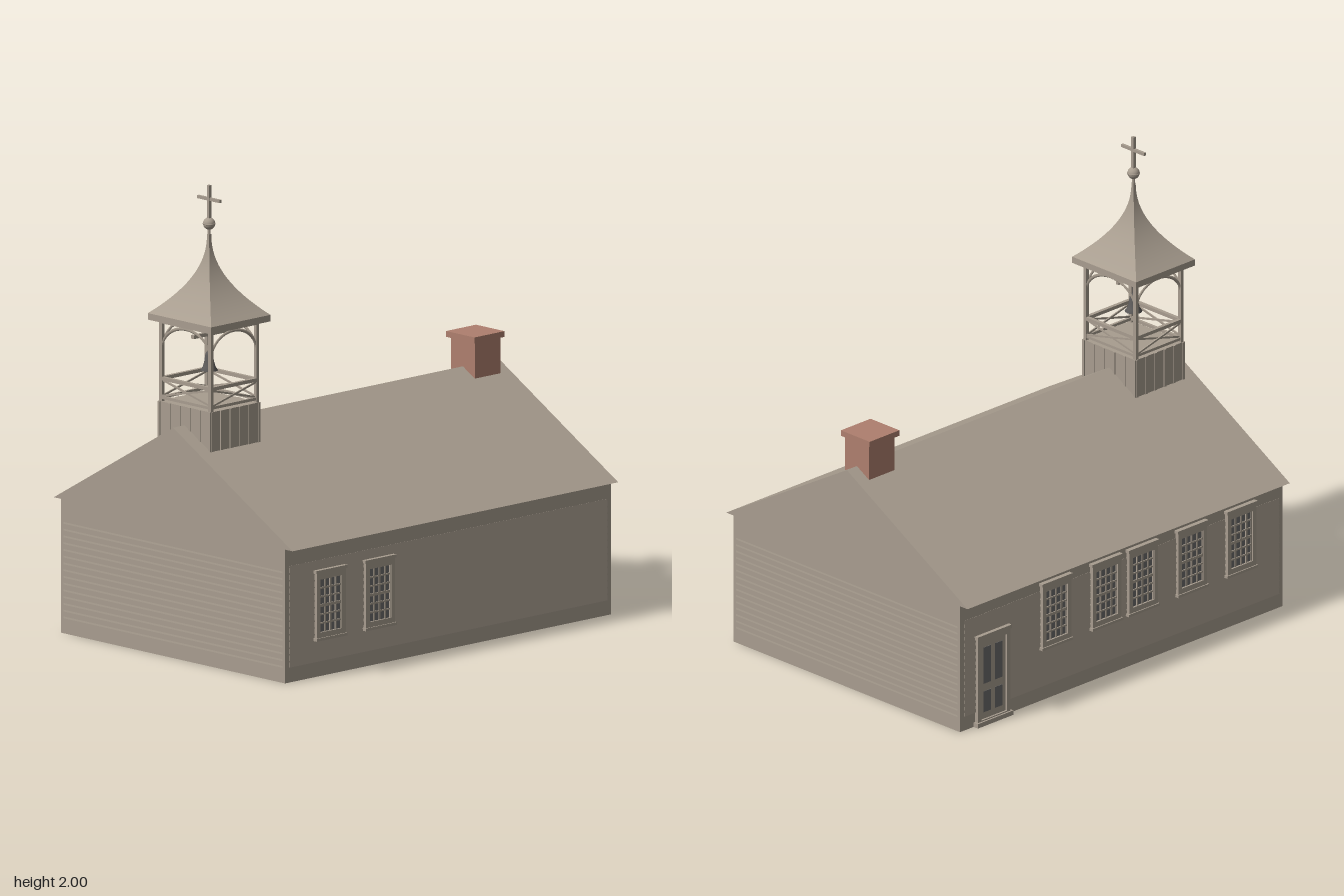
import * as THREE from 'three';

const mat = (name, color, extra = {}) =>
  Object.assign(new THREE.MeshStandardMaterial({ color, ...extra }), { name });

export function createModel() {
  const timber = mat('weathered timber', 0xa89d8f, { side: THREE.DoubleSide });
  const brick = mat('red brick', 0xae7f6e);
  const glass = mat('window glass', 0x6a6a6a);
  const iron = mat('dark iron', 0x5e5c5b, { side: THREE.DoubleSide });

  const root = new THREE.Group();
  root.name = 'chapel';

  const add = (parent, name, geo, material, x = 0, y = 0, z = 0) => {
    const m = new THREE.Mesh(geo, material);
    m.name = name;
    m.position.set(x, y, z);
    parent.add(m);
    return m;
  };
  // Box given by its limits on each axis
  const box = (parent, name, x0, x1, y0, y1, z0, z1, material = timber) =>
    add(parent, name, new THREE.BoxGeometry(x1 - x0, y1 - y0, z1 - z0), material,
      (x0 + x1) / 2, (y0 + y1) / 2, (z0 + z1) / 2);
  const group = (parent, name, x = 0, y = 0, z = 0, turn = 0) => {
    const g = new THREE.Group();
    g.name = name;
    g.position.set(x, y, z);
    g.rotation.y = turn;
    parent.add(g);
    return g;
  };
  const polygon = pts => new THREE.Shape(pts.map(p => new THREE.Vector2(...p)));

  // Hollow walls, open below
  const HX = 0.95, HZ = 0.675, EAVE = 0.575, T = 0.006;
  const rect = (a, b) => [[-a, -b], [a, -b], [a, b], [-a, b]];
  const plan = polygon(rect(HX, HZ));
  plan.holes.push(polygon(rect(HX - T, HZ - T)));
  const walls = new THREE.ExtrudeGeometry(plan, { depth: EAVE, bevelEnabled: false });
  add(root, 'walls', walls.rotateX(-Math.PI / 2), timber);

  // Solid gable roof with overhanging eaves
  const gable = polygon([[-0.72, EAVE], [0.72, EAVE], [0, 0.99]]);
  const roof = new THREE.ExtrudeGeometry(gable, { depth: 2 * HX, bevelEnabled: false });
  add(root, 'roof', roof.translate(0, 0, -HX).rotateY(Math.PI / 2), timber);

  // Clapboards: wedge-shaped boards on all four sides
  const PITCH = 0.029, BOARDS = 15;
  const siding = (name, length, dist, turn) => {
    const g = group(root, name, 0, 0, 0, turn);
    const wedge = polygon([[0, 0], [0.005, 0], [0.001, PITCH], [0, PITCH]]);
    const geo = new THREE.ExtrudeGeometry(wedge, { depth: length, bevelEnabled: false });
    geo.translate(0, 0, -length / 2).rotateY(-Math.PI / 2);
    for (let i = 0; i < BOARDS; i++) {
      add(g, 'clapboard', geo, timber, 0, 0.065 + i * PITCH, dist);
    }
  };
  // The wedge points along +z after the turn, so each wall only needs a rotation
  siding('frontSiding', 1.855, HZ, 0);
  siding('backSiding', 1.855, HZ, Math.PI);
  siding('leftSiding', 1.32, HX - 0.004, Math.PI / 2);
  siding('rightSiding', 1.32, HX - 0.004, -Math.PI / 2);

  // Rectangular casing around an opening, facing +z
  const casing = (g, w, h, openW, y0, y1, depth) => {
    const s = polygon([[-w / 2, 0], [w / 2, 0], [w / 2, h], [-w / 2, h]]);
    s.holes.push(polygon([[-openW / 2, y0], [openW / 2, y0], [openW / 2, y1], [-openW / 2, y1]]));
    add(g, 'casing', new THREE.ExtrudeGeometry(s, { depth, bevelEnabled: false }), timber);
  };

  // Sash window with four by six panes
  const sashWindow = (x, y, z, turn) => {
    const g = group(root, 'window', x, y, z, turn);
    const W = 0.126, y0 = 0.035, y1 = 0.262;
    casing(g, 0.168, 0.3, W, y0, y1, 0.018);
    box(g, 'sill', -0.09, 0.09, 0, 0.012, 0, 0.023);
    box(g, 'headTrim', -0.09, 0.09, 0.29, 0.303, 0, 0.021);
    box(g, 'glass', -W / 2, W / 2, y0, y1, 0.003, 0.009, glass);
    for (let i = 0; i <= 4; i++) {
      const cx = -W / 2 + (W * i) / 4;
      box(g, 'muntin', cx - 0.004, cx + 0.004, y0, y1, 0.009, 0.013);
    }
    for (let i = 1; i < 6; i++) {
      const cy = y0 + ((y1 - y0) * i) / 6, r = i === 3 ? 0.006 : 0.0035;
      box(g, 'muntin', -W / 2, W / 2, cy - r, cy + r, 0.009, 0.0135);
    }
  };
  for (const x of [-0.697, -0.41]) sashWindow(x, 0.157, HZ, 0);
  for (const x of [0.395, 0.1, -0.115, -0.405, -0.695]) sashWindow(x, 0.235, -HZ, Math.PI);

  // Back door with four glazed panels and a step
  const door = group(root, 'door', 0.765, 0, -HZ, Math.PI);
  casing(door, 0.19, 0.405, 0.15, 0.025, 0.375, 0.018);
  box(door, 'doorLeaf', -0.075, 0.075, 0.025, 0.375, 0.002, 0.009);
  box(door, 'lintel', -0.1, 0.1, 0.395, 0.412, 0, 0.021);
  box(door, 'step', -0.105, 0.105, 0, 0.02, 0, 0.026);
  for (const s of [-1, 1]) {
    for (const [y0, y1] of [[0.055, 0.15], [0.185, 0.35]]) {
      box(door, 'doorPanel', s * 0.034 - 0.022, s * 0.034 + 0.022, y0, y1, 0.009, 0.011, glass);
    }
  }

  // Brick chimney
  box(root, 'chimneyStack', 0.74, 0.89, 0.945, 1.105, -0.072, 0.072, brick);
  box(root, 'chimneyCap', 0.725, 0.9, 1.105, 1.13, -0.086, 0.086, brick);

  // Bell tower base with vertical battens
  const tower = group(root, 'bellTower', -0.74, 0, 0);
  const BX = 0.143, BZ = 0.158;
  box(tower, 'towerBase', -BX, BX, 0.9, 1.07, -BZ, BZ);
  for (const s of [-1, 1]) {
    for (let i = 0; i < 6; i++) {
      const u = -1 + (2 * i) / 5;
      const bx = u * (BX - 0.006), bz = u * (BZ - 0.006);
      box(tower, 'batten', bx - 0.006, bx + 0.006, 0.9, 1.07, s * BZ - 0.004, s * BZ + 0.004);
      box(tower, 'batten', s * BX - 0.004, s * BX + 0.004, 0.9, 1.07, bz - 0.006, bz + 0.006);
    }
  }

  // Corner posts
  const PX = 0.133, PZ = 0.148, R = 0.008;
  for (const sx of [-1, 1]) for (const sz of [-1, 1]) {
    box(tower, 'post', sx * PX - R, sx * PX + R, 1.07, 1.42, sz * PZ - R, sz * PZ + R);
  }

  // Rails, crossed braces and arch on each open side
  const sides = [[PX, PZ, 0], [PX, PZ, Math.PI], [PZ, PX, Math.PI / 2], [PZ, PX, -Math.PI / 2]];
  for (const [half, dist, turn] of sides) {
    const g = group(tower, 'openSide', 0, 0, 0, turn);
    box(g, 'topRail', -half, half, 1.16, 1.175, dist - 0.008, dist + 0.008);
    box(g, 'bottomRail', -half, half, 1.08, 1.092, dist - 0.006, dist + 0.006);
    box(g, 'topPlate', -half, half, 1.405, 1.42, dist - 0.008, dist + 0.008);
    for (const s of [-1, 1]) {
      const brace = add(g, 'crossBrace',
        new THREE.BoxGeometry(Math.hypot(2 * half, 0.068), 0.008, 0.006), timber, 0, 1.126, dist + s * 0.003);
      brace.rotation.z = s * Math.atan2(0.068, 2 * half);
    }
    const pts = [];
    for (let i = 0; i <= 16; i++) {
      const a = (Math.PI * i) / 16;
      pts.push(new THREE.Vector3(half * Math.cos(a), 1.29 + 0.11 * Math.sin(a), dist));
    }
    add(g, 'arch', new THREE.TubeGeometry(new THREE.CatmullRomCurve3(pts), 24, 0.007, 4), timber);
  }

  // Bell hanging from a beam
  box(tower, 'bellBeam', -0.097, 0.097, 1.354, 1.37, -0.008, 0.008);
  add(tower, 'bellRod', new THREE.CylinderGeometry(0.004, 0.004, 0.08, 8), iron, 0, 1.318, 0);
  const bell = [[0, 1.285], [0.012, 1.283], [0.017, 1.27], [0.02, 1.245], [0.027, 1.22], [0.037, 1.205], [0.03, 1.207]];
  add(tower, 'bell', new THREE.LatheGeometry(bell.map(p => new THREE.Vector2(...p)), 24), iron);

  // Four-sided spire with concave faces
  const EX = 0.173, EZ = 0.191;
  box(tower, 'spireEave', -EX, EX, 1.418, 1.446, -EZ, EZ);
  for (let k = 0; k < 4; k++) {
    const geo = new THREE.PlaneGeometry(2, 1, 1, 18);
    const p = geo.attributes.position;
    const c = Math.round(Math.cos(k * Math.PI / 2)), s = Math.round(Math.sin(k * Math.PI / 2));
    for (let i = 0; i < p.count; i++) {
      const t = p.getY(i) + 0.5, u = p.getX(i);
      const w = 0.035 + 0.965 * Math.pow(1 - t, 2.2);
      p.setXYZ(i, (u * c + s) * w * EX, 1.446 + 0.344 * t, (c - u * s) * w * EZ);
    }
    geo.computeVertexNormals();
    add(tower, 'spireFace', geo, timber);
  }

  // Finial ball and cross
  add(tower, 'finialStem', new THREE.CylinderGeometry(0.006, 0.007, 0.1, 10), timber, 0, 1.82, 0);
  add(tower, 'finialBall', new THREE.SphereGeometry(0.026, 20, 14), timber, 0, 1.835, 0);
  const ring = add(tower, 'finialRing', new THREE.TorusGeometry(0.025, 0.003, 6, 24), timber, 0, 1.835, 0);
  ring.rotation.x = Math.PI / 2;
  box(tower, 'crossUpright', -0.007, 0.007, 1.855, 2, -0.007, 0.007);
  box(tower, 'crossArm', -0.006, 0.006, 1.934, 1.947, -0.068, 0.068);

  return root;
}
